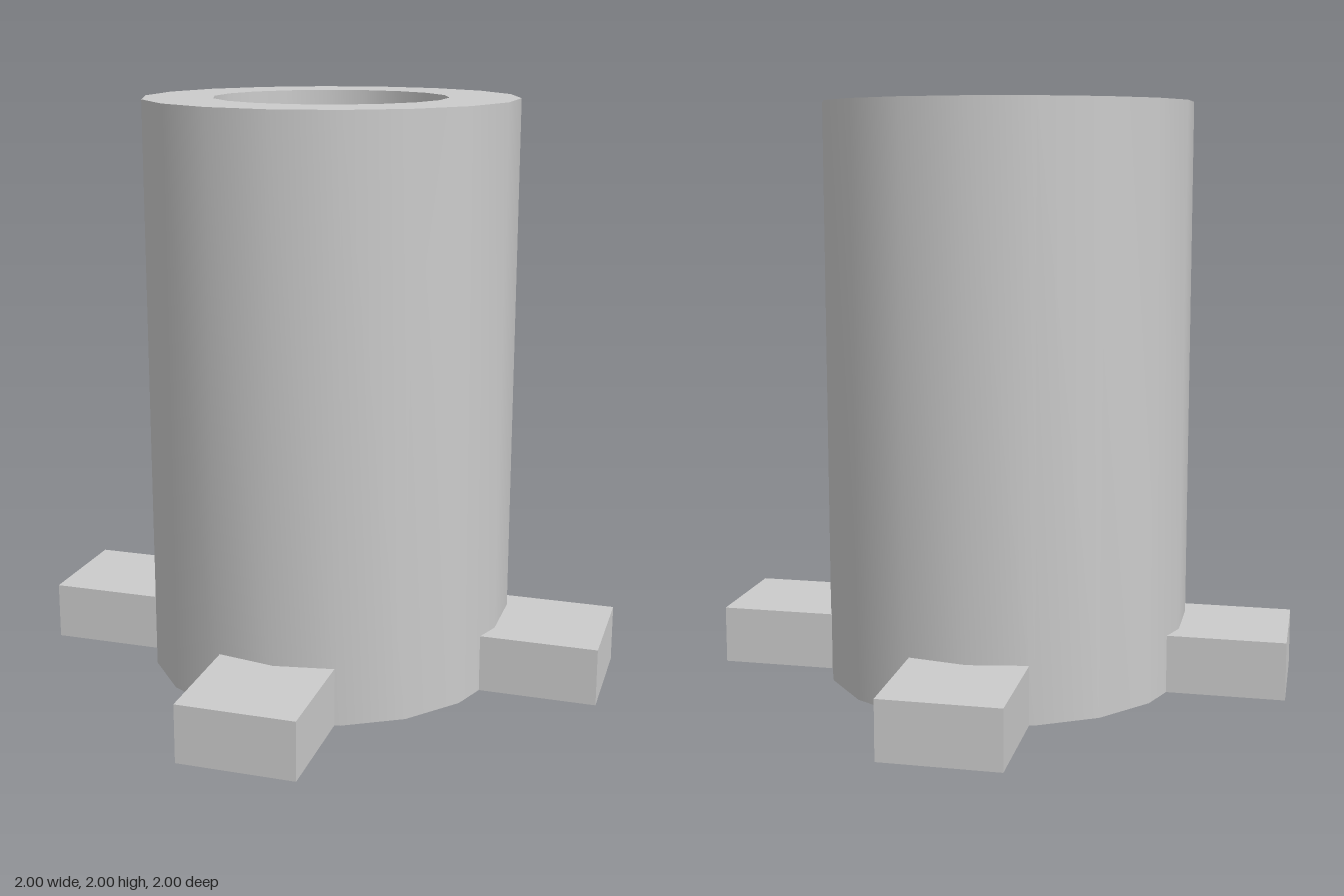
import * as THREE from 'three';
import { toCreasedNormals } from 'three/addons/utils/BufferGeometryUtils.js';

export function createModel() {
  const group = new THREE.Group();
  const material = new THREE.MeshStandardMaterial({ color: 0xcccccc });
  const add = (name, geometry) => {
    const mesh = new THREE.Mesh(geometry, material);
    mesh.name = name;
    group.add(mesh);
    return mesh;
  };

  // Thick open tube with 18 sides, smooth around and sharp at the rims
  const outer = 0.64, inner = 0.4, height = 2;
  const profile = [[inner, 0], [outer, 0], [outer, height], [inner, height], [inner, 0]]
    .map(([r, y]) => new THREE.Vector2(r, y));
  add('barrel', toCreasedNormals(new THREE.LatheGeometry(profile, 18), 0.6));

  // Cross-shaped foot: the corner points of one arm, turned four times
  const half = 0.2, reach = 1, thickness = 0.2;
  const points = [];
  for (let i = 0; i < 4; i++) {
    for (const [x, y] of [[reach, -half], [reach, half], [half, half]]) {
      points.push(new THREE.Vector2(x, y).rotateAround(new THREE.Vector2(), i * Math.PI / 2));
    }
  }
  const cross = new THREE.ExtrudeGeometry(new THREE.Shape(points), { depth: thickness, bevelEnabled: false });
  add('crossFoot', cross.rotateX(-Math.PI / 2));

  // Ten-sided ball resting on the cross inside the tube
  const radius = 0.38;
  const ball = add('ball', new THREE.SphereGeometry(radius, 10, 8));
  ball.rotation.y = Math.PI / 2;
  ball.position.y = thickness + radius;

  return group;
}
